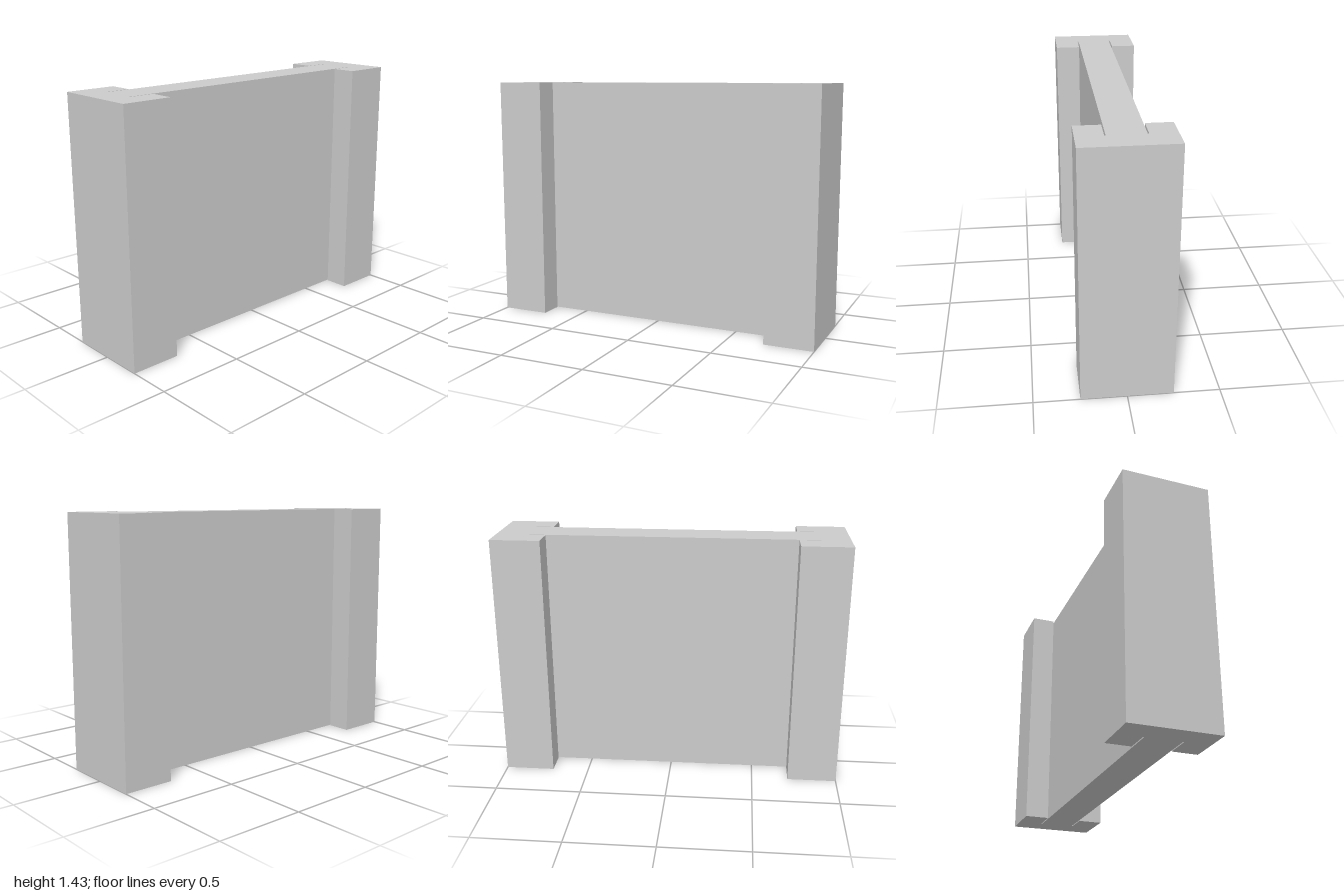
import * as THREE from 'three';

const HEIGHT = 1.43;
const HALF_DEPTH = 0.25;   // post half depth
const INNER = 0.714;       // inner face of the posts
const SLOT_END = 0.857;    // bottom of the slot, where the panel ends
const SLOT_HALF = 0.107;   // slot half width, slightly wider than the panel
const PANEL_DEPTH = 0.2;

export function createModel() {
  const group = new THREE.Group();
  group.name = 'slottedPanelFence';
  const material = new THREE.MeshStandardMaterial({ color: 0xcccccc, flatShading: true });

  // Post: C-shaped plan, extruded upwards, slot facing the panel
  const plan = new THREE.Shape([
    [1, -HALF_DEPTH], [1, HALF_DEPTH], [INNER, HALF_DEPTH], [INNER, SLOT_HALF],
    [SLOT_END, SLOT_HALF], [SLOT_END, -SLOT_HALF], [INNER, -SLOT_HALF], [INNER, -HALF_DEPTH],
  ].map(([x, z]) => new THREE.Vector2(x, z)));
  const postGeometry = new THREE.ExtrudeGeometry(plan, { depth: HEIGHT, bevelEnabled: false });
  postGeometry.rotateX(-Math.PI / 2);

  // The second post is the first turned half way round
  for (const [name, angle] of [['leftPost', 0], ['rightPost', Math.PI]]) {
    const post = new THREE.Mesh(postGeometry, material);
    post.name = name;
    post.rotation.y = angle;
    group.add(post);
  }

  // Panel: slides into both slots
  const panel = new THREE.Mesh(new THREE.BoxGeometry(SLOT_END * 2, HEIGHT, PANEL_DEPTH), material);
  panel.name = 'panel';
  panel.position.y = HEIGHT / 2;
  group.add(panel);

  return group;
}
